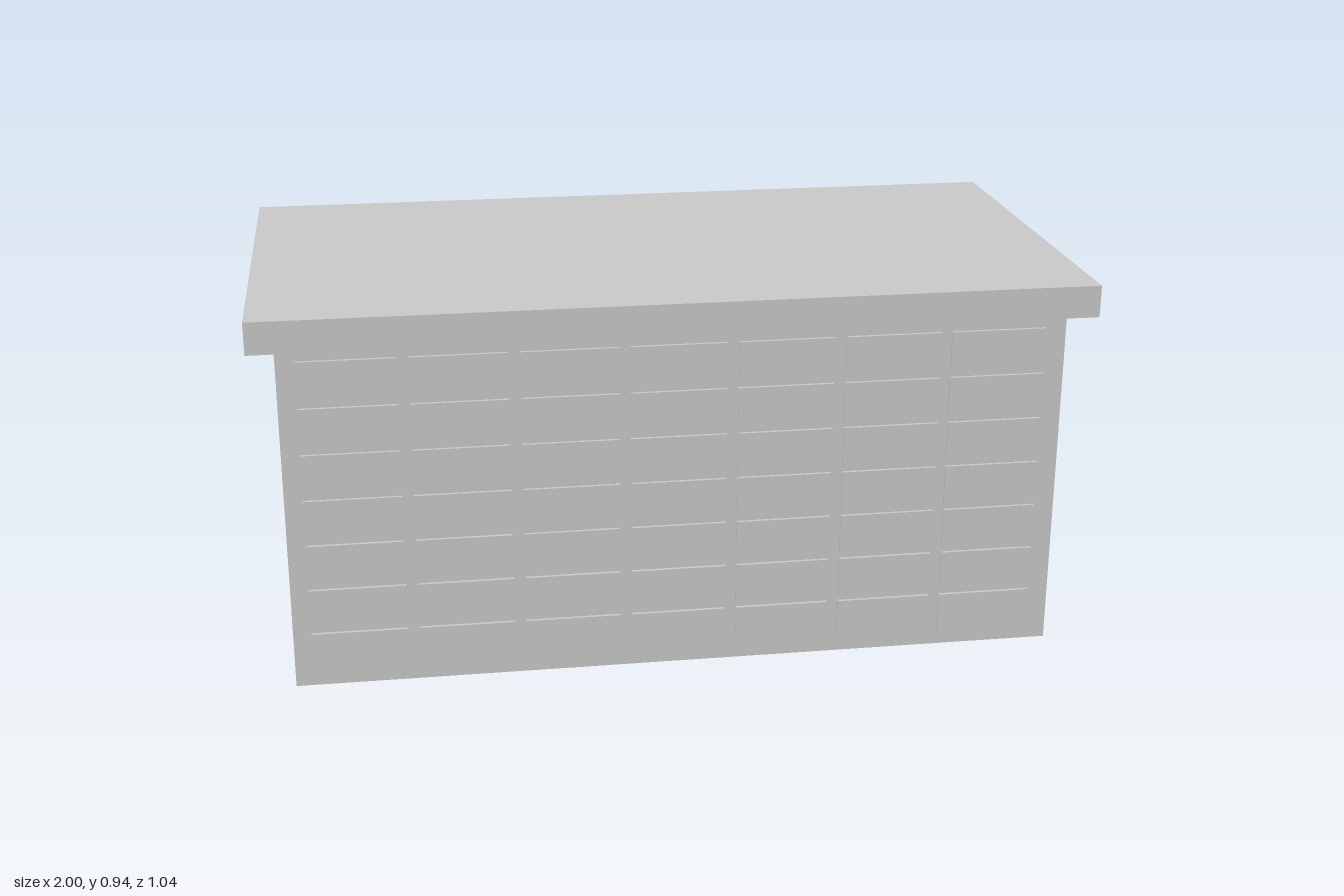
import * as THREE from 'three';

export function createModel() {
  const model = new THREE.Group();
  const material = new THREE.MeshStandardMaterial({ color: 0xcccccc, flatShading: true });

  const addBox = (name, size, position, parent = model) => {
    const mesh = new THREE.Mesh(new THREE.BoxGeometry(...size), material);
    mesh.name = name;
    mesh.position.set(...position);
    parent.add(mesh);
  };

  // Cabinet and overhanging top
  addBox('cabinetBody', [1.876, 0.863, 0.942], [0, 0.4315, 0]);
  addBox('counterTop', [2, 0.078, 1.043], [0, 0.902, 0]);

  // Seven by seven grid of drawer fronts, slightly proud of the body
  const drawers = new THREE.Group();
  drawers.name = 'drawerFronts';
  const count = 7, pitchX = 0.2583, pitchY = 0.1148;
  for (let row = 0; row < count; row++) {
    for (let col = 0; col < count; col++) {
      const x = -0.004 + (col - (count - 1) / 2) * pitchX;
      const y = 0.088 + row * pitchY;
      addBox('drawerFront', [0.231, 0.101, 0.02], [x, y, 0.469], drawers);
    }
  }
  model.add(drawers);

  return model;
}
